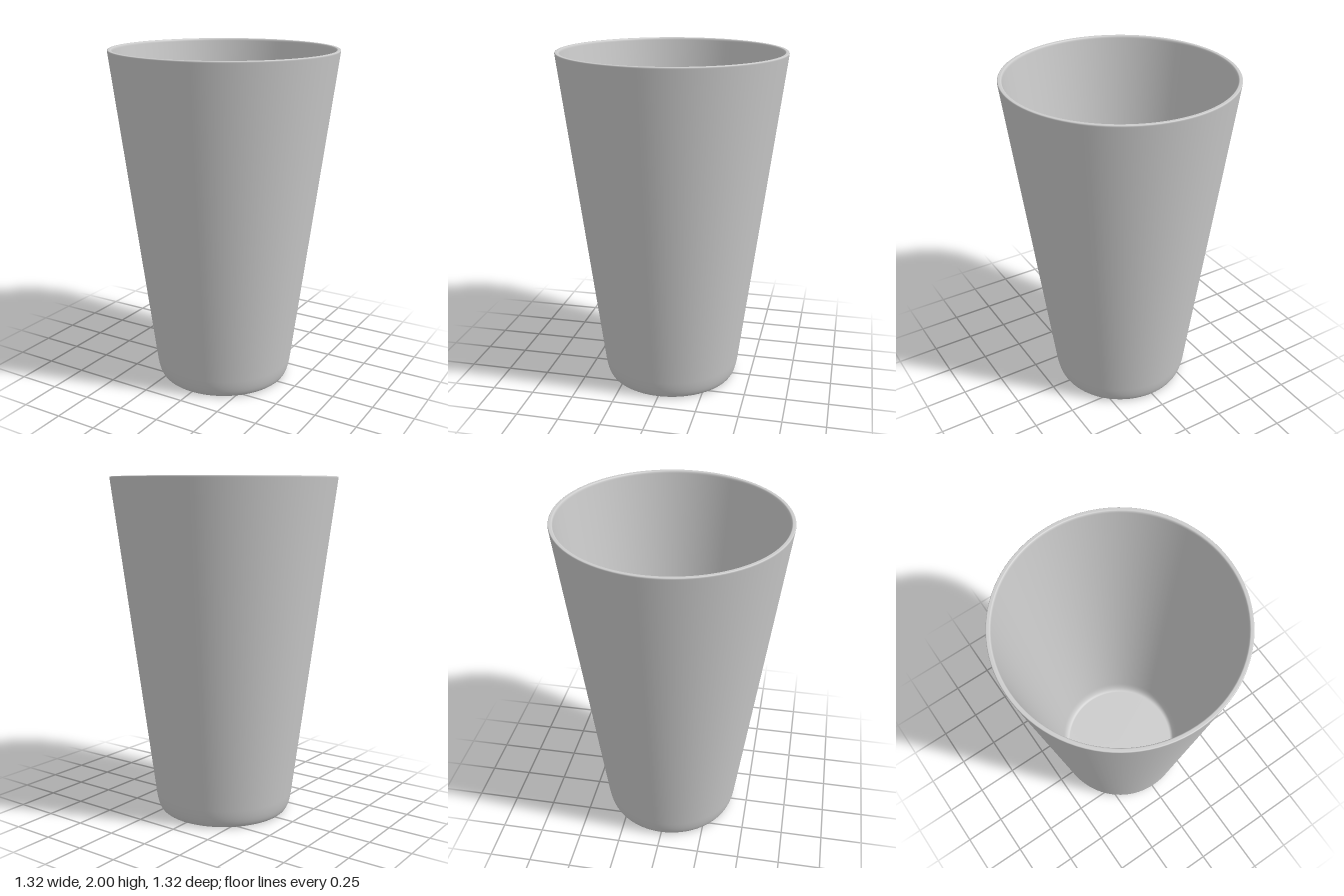
import * as THREE from 'three';

// Closed wall profile: under the base, up the outside, over the rim, down the inside
function cupProfile() {
  const path = new THREE.Path();
  path.moveTo(0, 0);
  path.lineTo(0.375, 0);
  path.quadraticCurveTo(0.403, 0.004, 0.417, 0.11); // outer base fillet
  path.lineTo(0.6595, 1.99);
  path.quadraticCurveTo(0.661, 2, 0.654, 2); // rounded rim
  path.lineTo(0.644, 2);
  path.quadraticCurveTo(0.636, 2, 0.634, 1.985);
  path.lineTo(0.394, 0.12);
  path.quadraticCurveTo(0.386, 0.04, 0.355, 0.04); // inner floor fillet
  path.lineTo(0, 0.04);
  return path.getPoints(8);
}

export function createModel() {
  const group = new THREE.Group();
  group.name = 'tumbler';

  // Tapered, open cup turned as one smooth surface
  const cup = new THREE.Mesh(
    new THREE.LatheGeometry(cupProfile(), 96),
    new THREE.MeshStandardMaterial({ color: 0xcccccc })
  );
  cup.name = 'cup';
  group.add(cup);

  return group;
}
